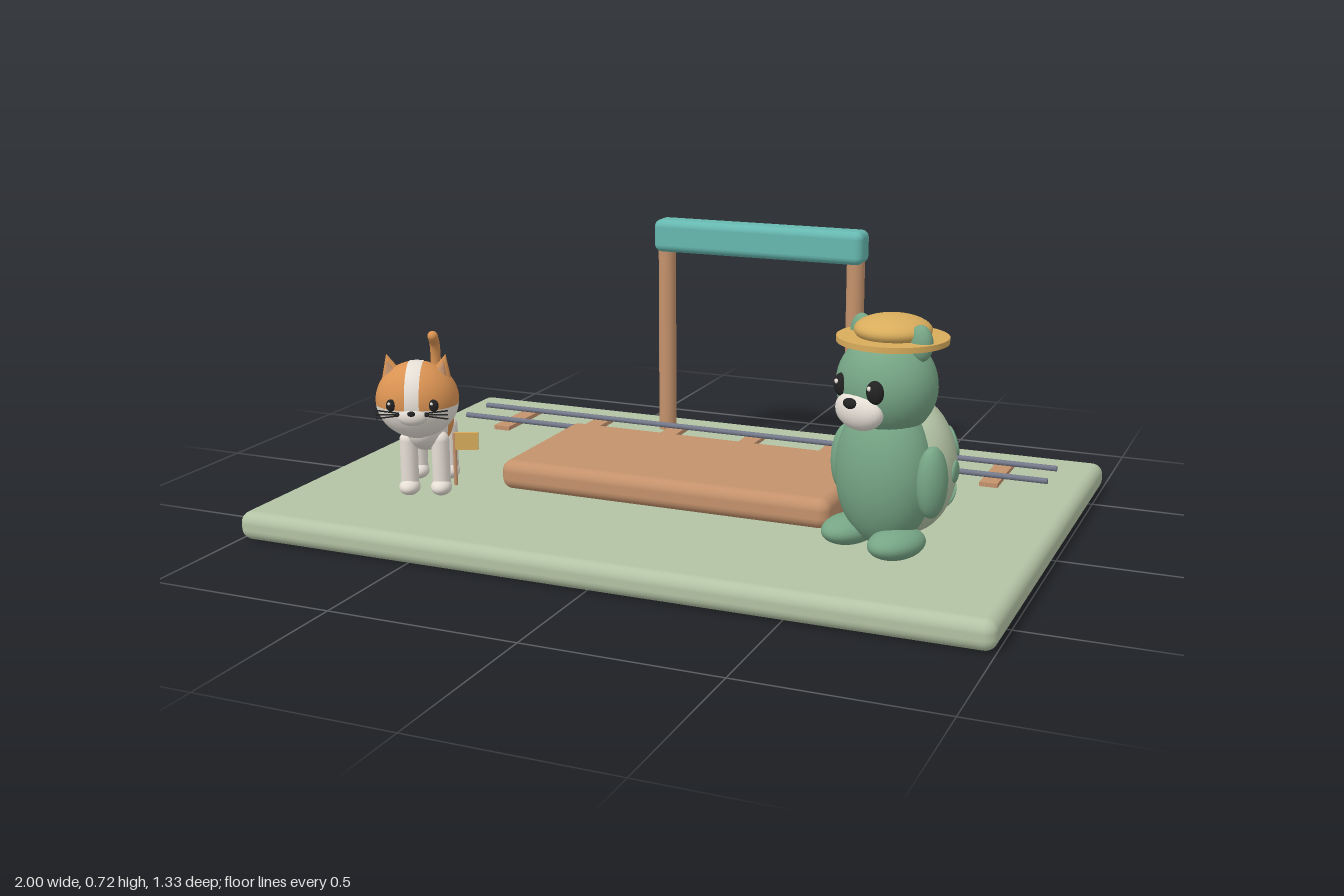
import * as THREE from 'three';
import { RoundedBoxGeometry } from 'three/addons/geometries/RoundedBoxGeometry.js';

const mat = (name, color, side = THREE.FrontSide) => {
  const m = new THREE.MeshStandardMaterial({ color, side });
  m.name = name;
  return m;
};

export function createModel() {
  const sage = mat('sage', 0xb3c3a4), brown = mat('wood brown', 0xc4926c), teal = mat('teal', 0x66b8b0);
  const green = mat('green', 0x76a585), gold = mat('straw gold', 0xd8ac5c), orange = mat('orange', 0xd99252);
  const cream = mat('cream', 0xe6dfd6), black = mat('black', 0x222222), steel = mat('steel', 0x74798a);

  const model = new THREE.Group();
  model.name = 'stationDiorama';

  const add = (parent, name, geo, material, [x, y, z] = [0, 0, 0]) => {
    const m = new THREE.Mesh(geo, material);
    m.name = name;
    m.position.set(x, y, z);
    parent.add(m);
    return m;
  };
  const ball = (parent, name, material, pos, radii) => {
    const m = add(parent, name, new THREE.SphereGeometry(1, 32, 24), material, pos);
    m.scale.set(...radii);
    return m;
  };
  const group = (name, x, z, yaw) => {
    const g = new THREE.Group();
    g.name = name;
    g.position.set(x, 0, z);
    g.rotation.y = yaw;
    model.add(g);
    return g;
  };

  // Ground slab and platform
  add(model, 'ground', new RoundedBoxGeometry(2, 0.076, 1.334, 5, 0.03), sage, [0, 0.038, 0]);
  add(model, 'platform', new RoundedBoxGeometry(0.935, 0.08, 0.455, 5, 0.03), brown, [0, 0.115, -0.004]);

  // Track
  for (let i = -3; i <= 3; i++)
    add(model, 'sleeper', new THREE.BoxGeometry(0.05, 0.016, 0.23), brown, [i * 0.25, 0.08, -0.42]);
  for (const z of [-0.487, -0.36]) {
    const rail = add(model, 'rail', new THREE.CylinderGeometry(0.008, 0.008, 1.8, 12), steel, [0, 0.095, z]);
    rail.rotation.z = Math.PI / 2;
  }

  // Gateway
  for (const s of [-1, 1])
    add(model, 'gatePost', new THREE.CylinderGeometry(0.026, 0.026, 0.58, 20), brown, [s * 0.293, 0.36, -0.522]);
  add(model, 'gateBeam', new RoundedBoxGeometry(0.645, 0.096, 0.083, 5, 0.022), teal, [0, 0.672, -0.522]);

  // Cat
  const cat = group('cat', -0.634, 0.301, 0.38);
  const bodyPart = (name, material, start, length) => {
    const geo = new THREE.SphereGeometry(1, 32, 20, 0, Math.PI * 2, start, length);
    geo.rotateX(Math.PI / 2);
    add(cat, name, geo, material, [0, 0.268, 0]).scale.set(0.065, 0.07, 0.13);
  };
  bodyPart('catChest', cream, 0, Math.PI * 0.37);
  bodyPart('catBack', orange, Math.PI * 0.37, Math.PI * 0.63);
  for (const x of [-0.042, 0.042])
    for (const z of [-0.07, 0.08]) {
      add(cat, 'catLeg', new THREE.CapsuleGeometry(0.024, 0.12, 6, 16), cream, [x, 0.18, z]);
      ball(cat, 'catPaw', cream, [x, 0.113, z + 0.008], [0.028, 0.022, 0.034]);
    }

  // Cat head: orange cap, cream lower face, cream stripe over the crown
  const head = new THREE.Group();
  head.name = 'catHead';
  head.position.set(0, 0.372, 0.16);
  cat.add(head);
  const R = [0.107, 0.1, 0.093];
  const split = Math.PI * 0.53;
  add(head, 'catCap', new THREE.SphereGeometry(1, 32, 20, 0, Math.PI * 2, 0, split), orange).scale.set(...R);
  add(head, 'catLowerFace', new THREE.SphereGeometry(1, 32, 20, 0, Math.PI * 2, split, Math.PI - split), cream).scale.set(...R);
  const stripeGeo = new THREE.SphereGeometry(1.015, 40, 6, 0, Math.PI * 2, Math.PI * 0.445, Math.PI * 0.11);
  stripeGeo.rotateZ(Math.PI / 2);
  add(head, 'catStripe', stripeGeo, cream).scale.set(...R);
  ball(head, 'catMuzzle', cream, [0, -0.025, 0.078], [0.04, 0.026, 0.022]);
  ball(head, 'catNose', black, [0, -0.014, 0.1], [0.01, 0.007, 0.006]);
  for (const s of [-1, 1]) {
    const ear = add(head, 'catEar', new THREE.ConeGeometry(0.036, 0.075, 20), orange, [s * 0.067, 0.083, 0]);
    ear.scale.z = 0.55;
    ear.rotation.z = -s * 0.25;
    const inner = add(head, 'catInnerEar', new THREE.ConeGeometry(0.022, 0.05, 16), brown, [s * 0.067, 0.08, 0.013]);
    inner.scale.z = 0.5;
    inner.rotation.z = -s * 0.25;
    ball(head, 'catEye', black, [s * 0.054, 0.003, 0.08], [0.013, 0.016, 0.008]);
    ball(head, 'catEyeGlint', cream, [s * 0.054 - 0.004, 0.009, 0.087], [0.004, 0.004, 0.003]);
    for (const k of [-1, 0, 1]) {
      const whisker = add(head, 'catWhisker', new THREE.CylinderGeometry(0.002, 0.002, 0.06, 6), black,
        [s * 0.062, -0.018 + k * 0.007, 0.09]);
      whisker.rotation.z = Math.PI / 2 + s * k * 0.13;
    }
  }

  // Cat tail with rounded tip
  const tail = [[0, 0.28, -0.1], [0, 0.315, -0.135], [0, 0.39, -0.148], [0, 0.45, -0.138], [0, 0.478, -0.11]]
    .map(p => new THREE.Vector3(...p));
  add(cat, 'catTail', new THREE.TubeGeometry(new THREE.CatmullRomCurve3(tail), 28, 0.014, 12), orange);
  ball(cat, 'catTailTip', orange, tail[4].toArray(), [0.014, 0.014, 0.014]);

  // Small flag beside the cat
  add(cat, 'flagPole', new THREE.CylinderGeometry(0.005, 0.005, 0.142, 10), brown, [0.086, 0.199, 0.119]);
  add(cat, 'flagPlate', new THREE.BoxGeometry(0.062, 0.046, 0.009), gold, [0.117, 0.248, 0.119]);

  // Bear with a shell
  const bear = group('bear', 0.65, 0.3, -0.45);
  ball(bear, 'bearBody', green, [0, 0.285, 0.025], [0.13, 0.185, 0.105]);
  ball(bear, 'bearHead', green, [0, 0.5, 0.025], [0.127, 0.125, 0.115]);
  const shellPos = new THREE.Vector3(0, 0.292, -0.045), shellR = new THREE.Vector3(0.138, 0.175, 0.112);
  ball(bear, 'bearShell', sage, shellPos.toArray(), shellR.toArray());

  // Shell spots lie flat on the surface
  for (const [u, v] of [[0, 0.1], [-0.75, 0.35], [0.75, 0.35], [-0.7, -0.45], [0.7, -0.45], [0, 0.85], [0, -0.8], [-1.25, 0], [1.25, 0]]) {
    const d = new THREE.Vector3(Math.sin(u) * Math.cos(v), Math.sin(v), -Math.cos(u) * Math.cos(v));
    const p = d.clone().multiply(shellR).add(shellPos);
    const size = Math.abs(u) > 1 ? 0.022 : 0.031;
    const spot = ball(bear, 'shellSpot', green, p.toArray(), [size, size * 1.25, 0.007]);
    spot.quaternion.setFromUnitVectors(new THREE.Vector3(0, 0, 1), d.divide(shellR).normalize());
  }

  // Bear limbs, ears and eyes
  for (const s of [-1, 1]) {
    ball(bear, 'bearArm', green, [s * 0.138, 0.285, 0.012], [0.034, 0.088, 0.043]);
    ball(bear, 'bearFoot', green, [s * 0.076, 0.13, 0.06], [0.058, 0.037, 0.082]);
    ball(bear, 'bearEar', green, [s * 0.093, 0.612, 0.015], [0.032, 0.044, 0.024]);
    ball(bear, 'bearEye', black, [s * 0.052, 0.505, 0.122], [0.024, 0.029, 0.018]);
    ball(bear, 'bearEyeGlint', cream, [s * 0.052 - 0.005, 0.515, 0.138], [0.006, 0.006, 0.004]);
  }
  ball(bear, 'bearMuzzle', cream, [0, 0.452, 0.118], [0.07, 0.048, 0.038]);
  ball(bear, 'bearNose', black, [0, 0.474, 0.151], [0.019, 0.013, 0.012]);

  // Straw hat
  add(bear, 'hatBrim', new THREE.CylinderGeometry(0.134, 0.134, 0.014, 40), gold, [0, 0.608, 0.008]);
  ball(bear, 'hatCrown', gold, [0, 0.63, 0.008], [0.093, 0.037, 0.093]);

  return model;
}
